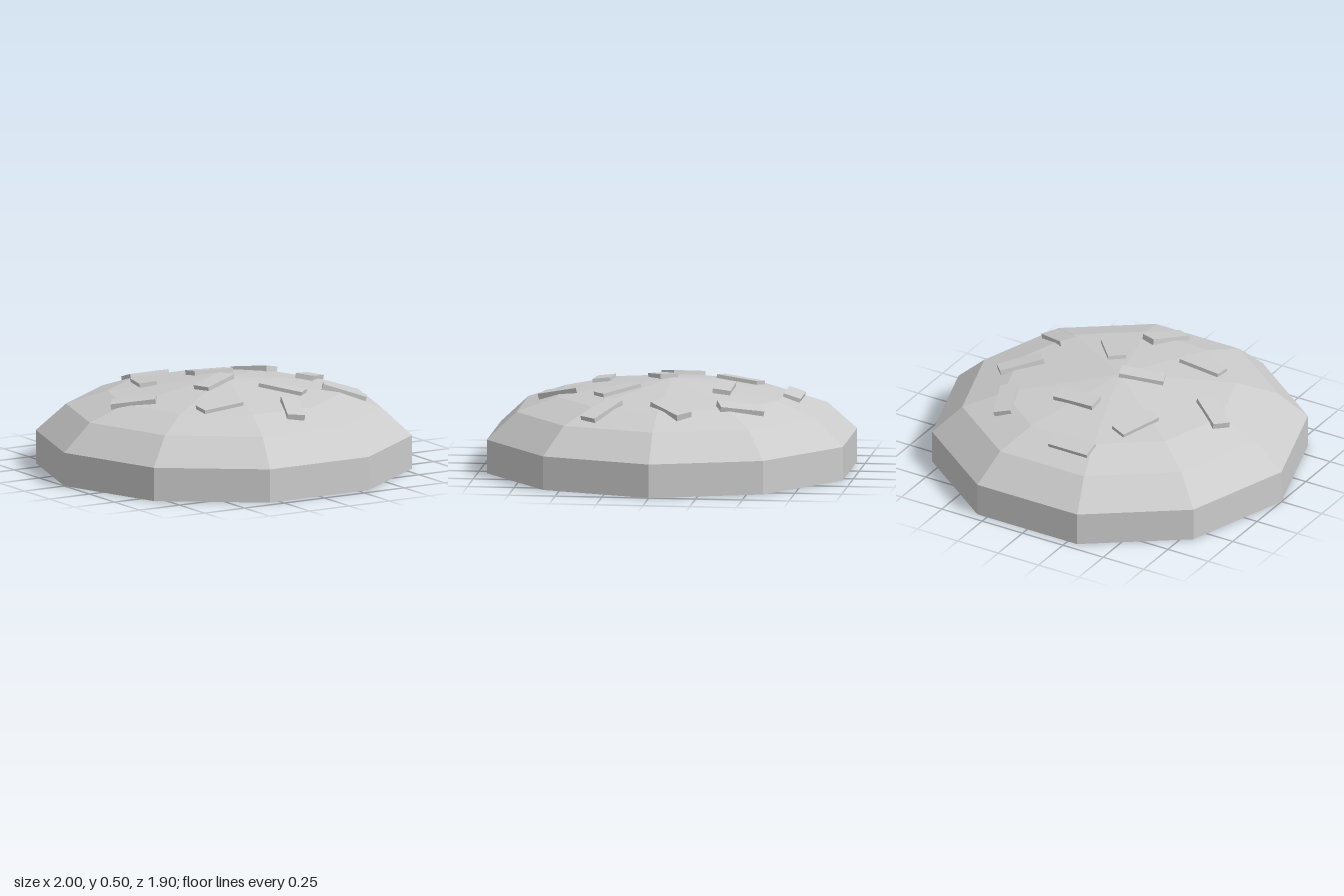
import * as THREE from 'three';

const SIDES = 10;
// radius / height of each ring, bottom centre to apex
const PROFILE = [[0, 0], [1, 0], [1, 0.18], [0.84, 0.325], [0.62, 0.4], [0, 0.485]];

// Height of the faceted dome above a point on the ground
function domeHeight(x, z) {
  let r = 0;
  for (let i = 0; i < SIDES; i++) {
    const a = ((i + 0.5) / SIDES) * Math.PI * 2;
    r = Math.max(r, (x * Math.cos(a) + z * Math.sin(a)) / Math.cos(Math.PI / SIDES));
  }
  for (let i = 2; i < PROFILE.length - 1; i++) {
    const [r0, y0] = PROFILE[i], [r1, y1] = PROFILE[i + 1];
    if (r >= r1) return y0 + ((y1 - y0) * (r0 - r)) / (r0 - r1);
  }
  return PROFILE.at(-1)[1];
}

export function createModel() {
  const group = new THREE.Group();
  const material = new THREE.MeshStandardMaterial({ color: 0xcccccc, flatShading: true });

  // Ten-sided dome with a straight rim and closed underside
  const points = PROFILE.map(([r, y]) => new THREE.Vector2(r, y));
  const dome = new THREE.Mesh(new THREE.LatheGeometry(points, SIDES, Math.PI / 2), material);
  dome.name = 'dome';
  group.add(dome);

  // Sprinkles: centre x, z and direction x, z of the long side
  const sprinkles = [
    [-0.09, -0.64, 1, 0], [0.09, -0.29, 1, 0], [-0.295, -0.33, -0.08, 0.22],
    [0.45, -0.42, 0.08, 0.22], [-0.57, 0.01, 0.19, 0.14], [0.575, -0.065, 0.18, -0.165],
    [-0.1, 0.06, 0.21, -0.09], [0.2, 0.265, 0.155, 0.185], [0.56, 0.305, 0.2, 0.125],
    [-0.275, 0.395, 1, 0], [0.065, 0.58, -0.09, 0.22],
  ];
  const box = new THREE.BoxGeometry(0.24, 0.04, 0.095);
  const d = 0.08;
  sprinkles.forEach(([x, z, dx, dz], i) => {
    // Lay each sprinkle along the local slope, half sunk into the dome
    const normal = new THREE.Vector3(
      (domeHeight(x - d, z) - domeHeight(x + d, z)) / (2 * d), 1,
      (domeHeight(x, z - d) - domeHeight(x, z + d)) / (2 * d)).normalize();
    const side = new THREE.Vector3(dx, 0, dz).cross(normal).normalize();
    const along = normal.clone().cross(side);
    const sprinkle = new THREE.Mesh(box, material);
    sprinkle.name = `sprinkle${i + 1}`;
    sprinkle.quaternion.setFromRotationMatrix(new THREE.Matrix4().makeBasis(along, normal, side));
    sprinkle.position.set(x, domeHeight(x, z), z);
    group.add(sprinkle);
  });
  return group;
}
